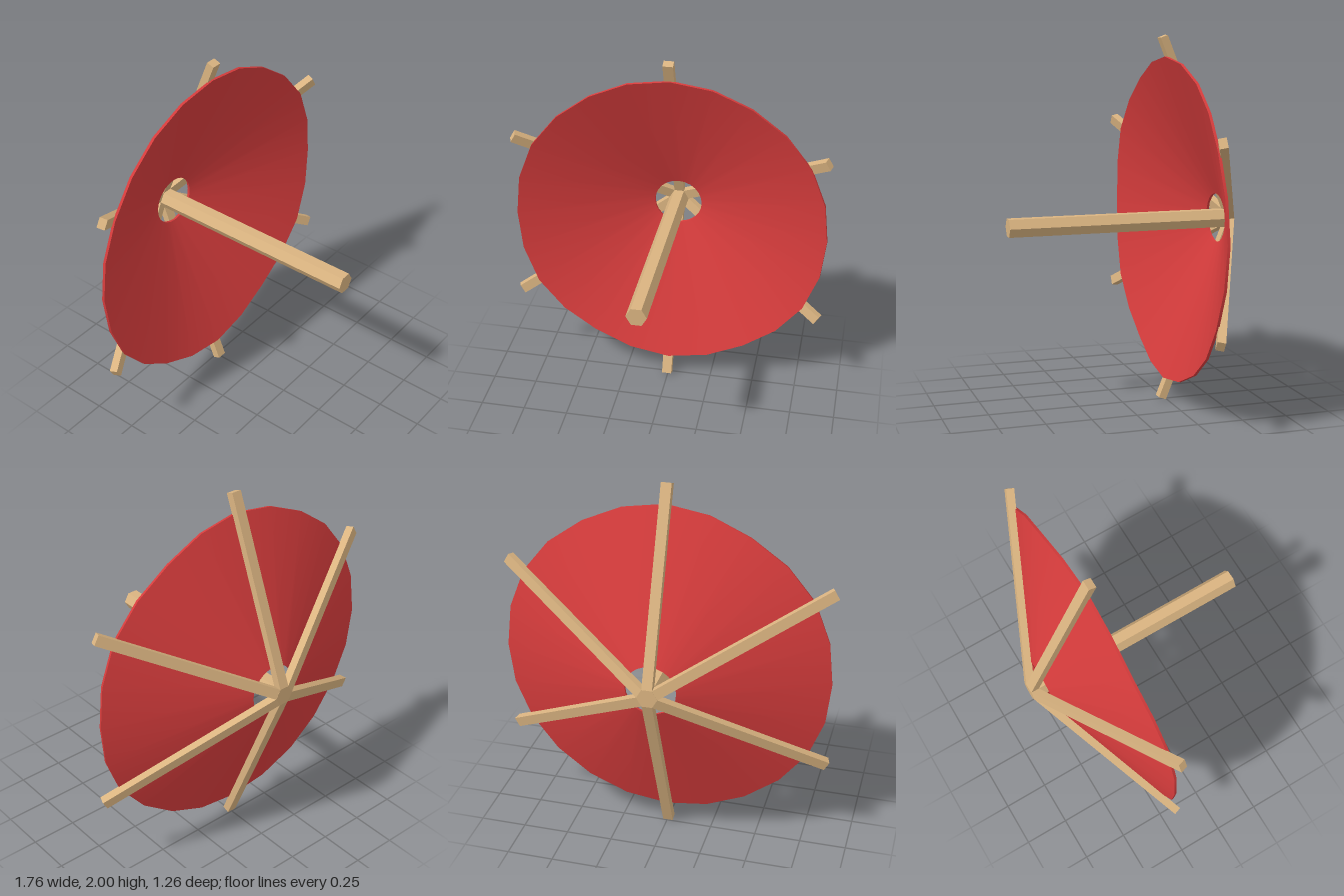
import * as THREE from 'three';

const wood = new THREE.MeshStandardMaterial({ color: 0xd9b380 });
wood.name = 'wood';
const red = new THREE.MeshStandardMaterial({ color: 0xd63c3c });
red.name = 'red cloth';

const RIBS = 6;
const POLE_R = 0.055;
const HUB = POLE_R * Math.cos(Math.PI / 6); // distance to a flat side of the pole

function add(parent, name, geometry, material) {
  const mesh = new THREE.Mesh(geometry, material);
  mesh.name = name;
  parent.add(mesh);
  return mesh;
}

// One slanted rib: side profile in (radius, z), extruded to the width of a pole side
function ribGeometry() {
  const side = new THREE.Shape([
    new THREE.Vector2(HUB - 0.002, -0.63),
    new THREE.Vector2(1.0, -0.245),
    new THREE.Vector2(0.985, -0.205),
    new THREE.Vector2(HUB - 0.002, -0.585),
  ]);
  const geo = new THREE.ExtrudeGeometry(side, { depth: POLE_R, bevelEnabled: false });
  geo.translate(0, 0, -POLE_R / 2);
  geo.rotateX(Math.PI / 2);
  return geo;
}

// One face band of the canopy; the rim is pulled forward and outward at each rib
function canopyBand(from, to) {
  const geo = new THREE.LatheGeometry([from, to], 24);
  geo.rotateX(Math.PI / 2);
  const p = geo.attributes.position;
  for (let i = 0; i < p.count; i++) {
    const x = p.getX(i), y = p.getY(i);
    const t = (Math.hypot(x, y) - 0.135) / 0.745;
    const wave = t * Math.cos(RIBS * (Math.atan2(y, x) - Math.PI / 2));
    const s = 1 + 0.006 * wave;
    p.setXYZ(i, x * s, y * s, p.getZ(i) + 0.006 * wave);
  }
  return geo;
}

export function createModel() {
  const model = new THREE.Group();
  model.name = 'parasol';

  // Pole and ribs
  const frame = new THREE.Group();
  frame.name = 'frame';
  frame.position.set(-0.004, 1, 0);
  model.add(frame);

  const poleGeo = new THREE.CylinderGeometry(POLE_R, POLE_R, 1.26, 6).toNonIndexed();
  poleGeo.rotateX(Math.PI / 2);
  poleGeo.rotateZ(Math.PI / 2); // corners to the left and right
  poleGeo.computeVertexNormals();
  add(frame, 'pole', poleGeo, wood);

  const ribGeo = ribGeometry();
  for (let i = 0; i < RIBS; i++) {
    add(frame, 'rib', ribGeo, wood).rotation.z = Math.PI / 2 + (i * Math.PI * 2) / RIBS;
  }

  // Canopy: a thin shallow cone with an open centre
  const canopy = new THREE.Group();
  canopy.name = 'canopy';
  canopy.position.set(0, 1.002, 0);
  model.add(canopy);

  const innerBack = new THREE.Vector2(0.135, -0.552);
  const outerBack = new THREE.Vector2(0.88, -0.256);
  const outerFront = new THREE.Vector2(0.878, -0.242);
  const innerFront = new THREE.Vector2(0.135, -0.538);
  add(canopy, 'canopyBack', canopyBand(innerBack, outerBack), red);
  add(canopy, 'canopyRim', canopyBand(outerBack, outerFront), red);
  add(canopy, 'canopyFront', canopyBand(outerFront, innerFront), red);
  add(canopy, 'canopyHoleEdge', canopyBand(innerFront, innerBack), red);

  return model;
}
